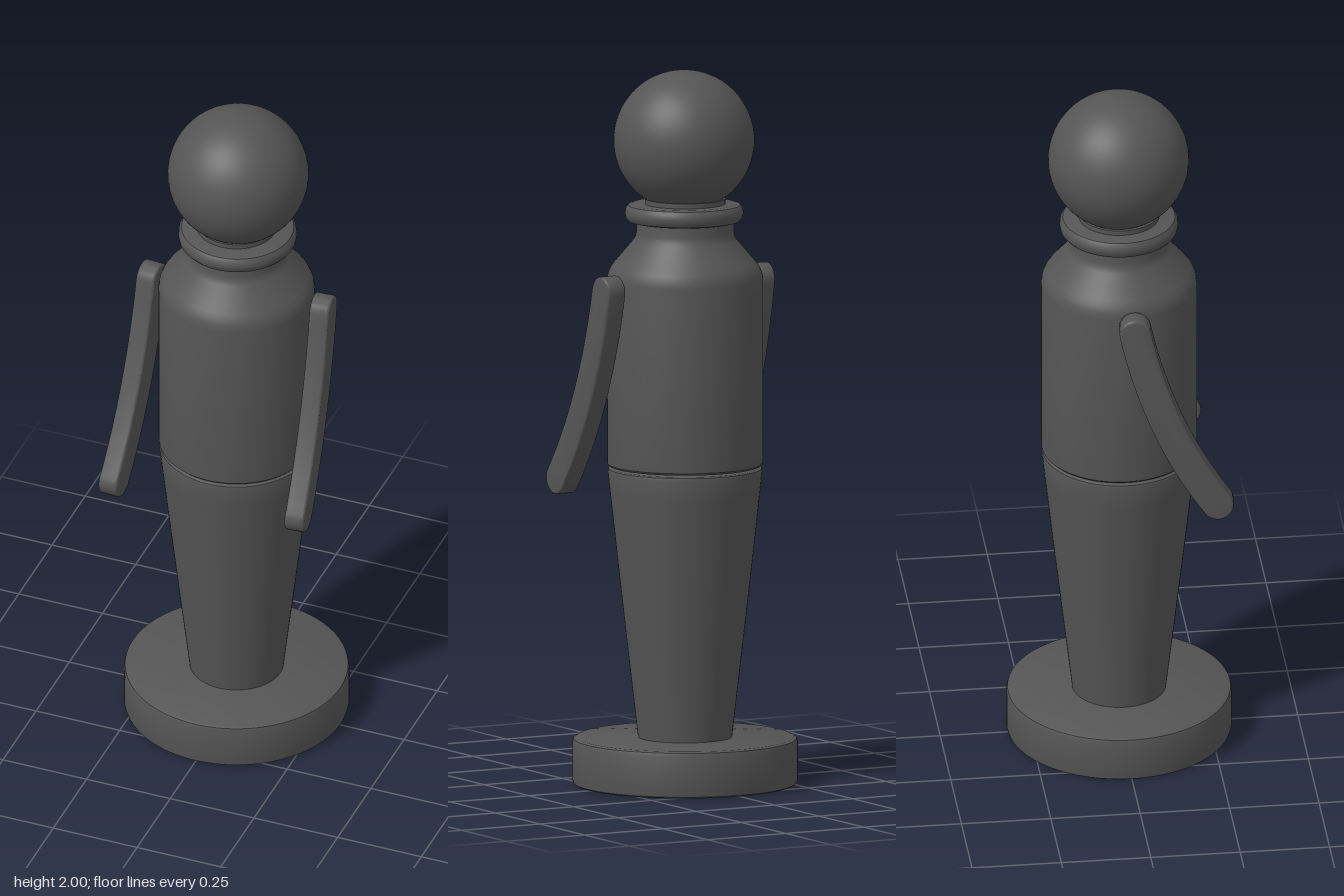
import * as THREE from 'three';
import { toCreasedNormals } from 'three/addons/utils/BufferGeometryUtils.js';

const charcoal = new THREE.MeshStandardMaterial({ color: 0x555555 });
charcoal.name = 'charcoal';

function part(name, geometry) {
  const mesh = new THREE.Mesh(geometry, charcoal);
  mesh.name = name;
  return mesh;
}

// Turned part from [radius, height] pairs, bottom to top
function turned(name, profile) {
  const points = profile.map(([r, y]) => new THREE.Vector2(r, y));
  return part(name, toCreasedNormals(new THREE.LatheGeometry(points, 64), 0.6));
}

// Curved bar with round ends, drawn in (z, y) and extruded sideways
function armGeometry() {
  const bevel = 0.006, radius = 0.044 - bevel, thickness = 0.057;
  const curve = new THREE.QuadraticBezierCurve(
    new THREE.Vector2(-0.015, 1.397), new THREE.Vector2(0.05, 1.08), new THREE.Vector2(0.214, 0.849));
  const outline = [];
  const steps = 20;
  const addPoint = (t, turn) => {
    const p = curve.getPoint(t), d = curve.getTangent(t);
    const angle = Math.atan2(d.y, d.x) + turn;
    outline.push(new THREE.Vector2(p.x + radius * Math.cos(angle), p.y + radius * Math.sin(angle)));
  };
  for (let i = 0; i <= steps; i++) addPoint(i / steps, -Math.PI / 2);
  for (let i = 1; i < 12; i++) addPoint(1, -Math.PI / 2 + (i / 12) * Math.PI);
  for (let i = steps; i >= 0; i--) addPoint(i / steps, Math.PI / 2);
  for (let i = 1; i < 12; i++) addPoint(0, Math.PI / 2 + (i / 12) * Math.PI);
  const geometry = new THREE.ExtrudeGeometry(new THREE.Shape(outline), {
    depth: thickness - 2 * bevel, bevelEnabled: true, bevelSize: bevel,
    bevelThickness: bevel, bevelSegments: 3,
  });
  geometry.translate(0, 0, bevel - thickness / 2);
  geometry.rotateY(-Math.PI / 2); // drawn x becomes z
  return toCreasedNormals(geometry, 0.6);
}

export function createModel() {
  const model = new THREE.Group();
  model.name = 'pegFigure';

  // Round stand with a softened rim
  model.add(turned('base', [
    [0, 0], [0.305, 0], [0.311, 0.004], [0.313, 0.012],
    [0.313, 0.118], [0.31, 0.127], [0.302, 0.131], [0, 0.131],
  ]));

  // Tapered lower body
  model.add(turned('legs', [
    [0, 0.125], [0.13, 0.125], [0.162, 0.4], [0.187, 0.62], [0.208, 0.81],
    [0.215, 0.875], [0.213, 0.884], [0.208, 0.887], [0, 0.887],
  ]));

  // Upper body with sloping shoulders and neck
  model.add(turned('torso', [
    [0, 0.892], [0.21, 0.892], [0.216, 0.898], [0.217, 0.91], [0.217, 1.415],
    [0.214, 1.433], [0.207, 1.448], [0.197, 1.462], [0.146, 1.522],
    [0.139, 1.533], [0.136, 1.546], [0.136, 1.59], [0.112, 1.6], [0.112, 1.64], [0, 1.64],
  ]));

  // Rounded collar ring
  const collar = turned('collar', [
    [0, 1.576], [0.145, 1.576], [0.156, 1.579], [0.163, 1.588], [0.165, 1.601],
    [0.163, 1.614], [0.156, 1.623], [0.145, 1.626], [0, 1.626],
  ]);
  collar.position.x = 0.003;
  model.add(collar);

  const head = part('head', new THREE.SphereGeometry(0.196, 64, 40));
  head.position.set(0.004, 1.804, -0.001);
  model.add(head);

  // Arms swing forward and splay slightly outward
  const geometry = armGeometry();
  const arms = [['leftArm', 0.254, 0, 0.072], ['rightArm', -0.249, 0.031, -0.093]];
  for (const [name, x, z, yaw] of arms) {
    const arm = part(name, geometry);
    arm.position.set(x, 0, z);
    arm.rotation.y = yaw;
    model.add(arm);
  }

  return model;
}
